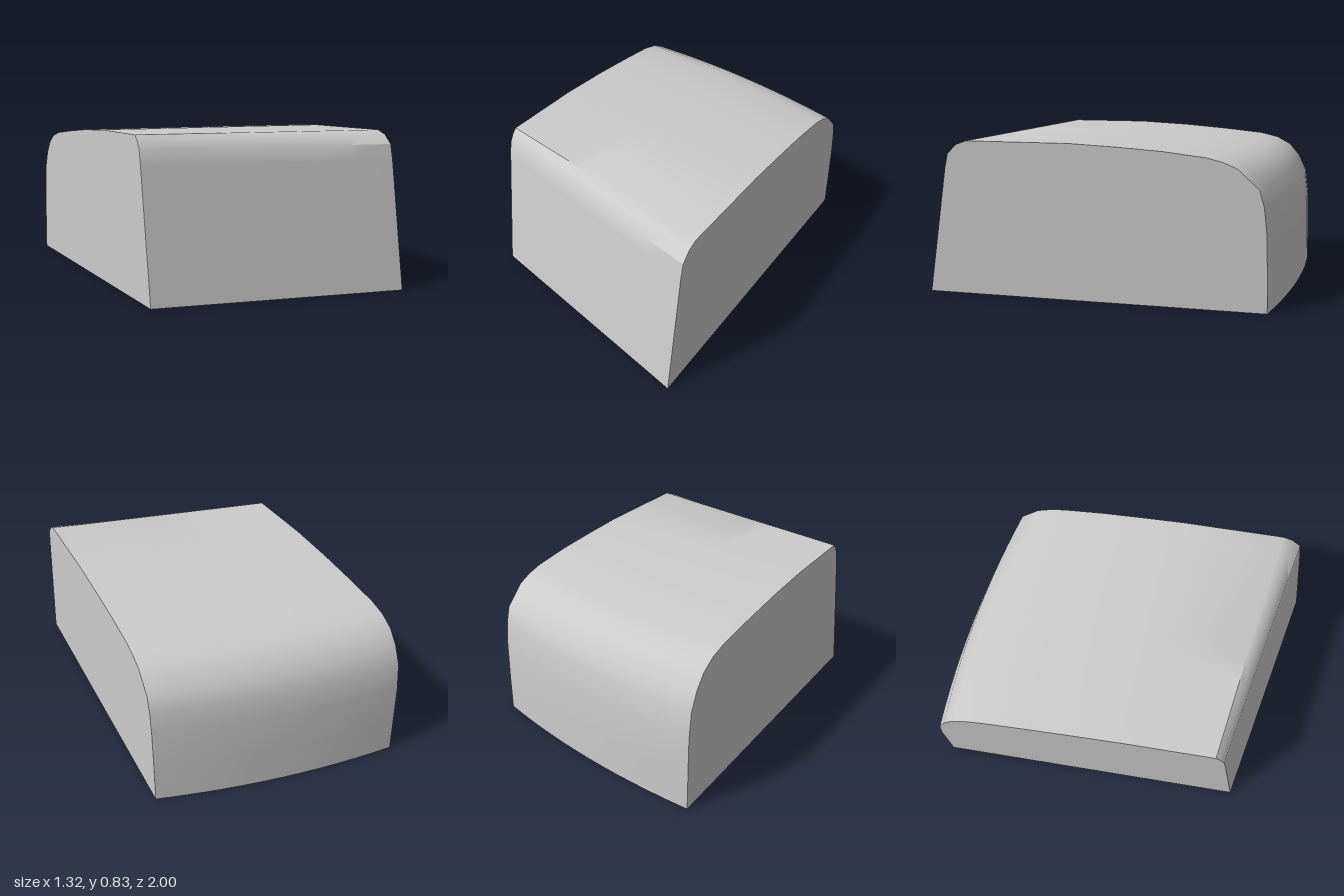
import * as THREE from 'three';
import { toCreasedNormals } from 'three/addons/utils/BufferGeometryUtils.js';

const HALF_WIDTH = 0.66;
const SECTIONS = 12;

// Side profiles as [z, y], from the front foot over the top to the back foot
const leftProfile = [
  [1, 0], [0.89, 0.68], [0.872, 0.76], [0.82, 0.81], [0.765, 0.83], [0.2, 0.83], [-0.05, 0.818],
  [-0.28, 0.803], [-0.5, 0.778], [-0.585, 0.757], [-0.66, 0.725], [-0.765, 0.625],
  [-0.79, 0.54], [-0.805, 0.42], [-0.815, 0.2], [-0.82, 0],
];
const rightProfile = [
  [0.72, 0], [0.615, 0.68], [0.60, 0.76], [0.575, 0.805], [0.55, 0.83], [0.1, 0.83], [-0.2, 0.815],
  [-0.45, 0.795], [-0.68, 0.772], [-0.78, 0.748], [-0.86, 0.705], [-0.92, 0.635],
  [-0.965, 0.54], [-0.985, 0.4], [-0.993, 0.2], [-1, 0],
];

// Blend the two profiles across the width, bowing the back outwards
function blockGeometry() {
  const positions = [];
  const index = [];
  const n = leftProfile.length;
  for (let i = 0; i <= SECTIONS; i++) {
    const t = i / SECTIONS;
    const bow = 0.18 * t * (1 - t);
    for (let j = 0; j < n; j++) {
      const [zr, yr] = rightProfile[j];
      const [zl, yl] = leftProfile[j];
      const weight = THREE.MathUtils.smoothstep(-zr, -0.1, 0.9);
      positions.push(
        THREE.MathUtils.lerp(-HALF_WIDTH, HALF_WIDTH, t),
        THREE.MathUtils.lerp(yr, yl, t),
        THREE.MathUtils.lerp(zr, zl, t) - bow * weight,
      );
    }
  }
  // Skin around the profile, including the underside
  for (let i = 0; i < SECTIONS; i++) {
    for (let j = 0; j < n; j++) {
      const k = (j + 1) % n;
      const a = i * n + j, b = a + n, d = i * n + k, c = d + n;
      index.push(a, b, c, a, c, d);
    }
  }
  // Flat side walls
  const last = SECTIONS * n;
  for (let j = 1; j < n - 1; j++) {
    index.push(0, j, j + 1);
    index.push(last, last + j + 1, last + j);
  }
  const geometry = new THREE.BufferGeometry();
  geometry.setAttribute('position', new THREE.Float32BufferAttribute(positions, 3));
  geometry.setIndex(index);
  return toCreasedNormals(geometry, THREE.MathUtils.degToRad(32));
}

export function createModel() {
  const group = new THREE.Group();
  group.name = 'roundedBlock';
  const body = new THREE.Mesh(blockGeometry(), new THREE.MeshStandardMaterial({ color: 0xcccccc }));
  body.name = 'body';
  group.add(body);
  return group;
}
